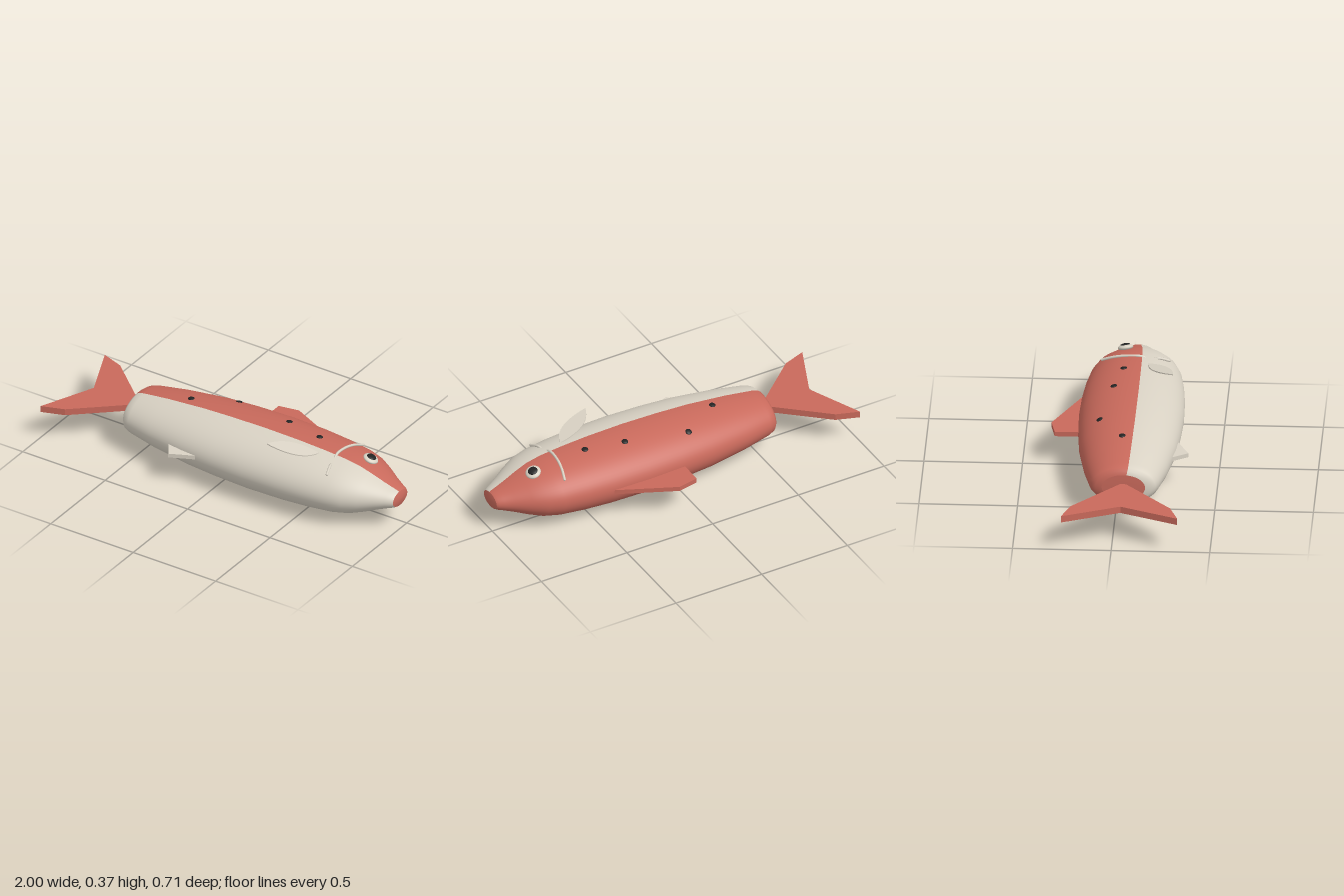
import * as THREE from 'three';

const CY = 0.168, CZ = 0.042, FLAT = 0.625; // body axis and height/width ratio
const SPLIT = THREE.MathUtils.degToRad(82); // half angle of the pale belly

// body half-width along its length: [x, radius]
const TAIL = [[-0.608, 0], [-0.608, 0.06], [-0.606, 0.11]];
const SIDE = [[-0.606, 0.11], [-0.6, 0.142], [-0.585, 0.162], [-0.55, 0.178], [-0.4, 0.212], [-0.18, 0.246],
  [0, 0.26], [0.2, 0.267], [0.4, 0.262], [0.55, 0.25], [0.68, 0.232], [0.76, 0.208], [0.83, 0.168],
  [0.9, 0.121], [0.95, 0.091], [0.975, 0.077], [0.987, 0.066]];
const NOSE = [[0.987, 0.066], [0.992, 0.045], [0.995, 0.02], [0.996, 0]];

function radiusAt(x) {
  for (let i = 1; i < SIDE.length; i++) {
    const [x0, r0] = SIDE[i - 1], [x1, r1] = SIDE[i];
    if (x <= x1) return r0 + (r1 - r0) * (x - x0) / (x1 - x0);
  }
  return 0;
}
// height of the upper body surface
function surfaceY(x, z) {
  const r = radiusAt(x), d = z - CZ;
  return CY + FLAT * Math.sqrt(Math.max(0, r * r - d * d));
}
function surfaceNormal(x, z) {
  const e = 0.01;
  return new THREE.Vector3((surfaceY(x - e, z) - surfaceY(x + e, z)) / (2 * e), 1,
    (surfaceY(x, z - e) - surfaceY(x, z + e)) / (2 * e)).normalize();
}

export function createModel() {
  const model = new THREE.Group();
  const mat = (name, color) => {
    const m = new THREE.MeshStandardMaterial({ color });
    m.name = name;
    return m;
  };
  const red = mat('salmon red', 0xc8695b);
  const cream = mat('belly cream', 0xd9d2c4);
  const black = mat('black', 0x222222);

  const add = (name, geometry, material) => {
    const mesh = new THREE.Mesh(geometry, material);
    mesh.name = name;
    model.add(mesh);
    return mesh;
  };

  // body sections turned around the long axis, then flattened
  const turned = (profile, start, length, segments) => {
    const points = profile.map(([x, r]) => new THREE.Vector2(r, x));
    return new THREE.LatheGeometry(points, segments, start, length)
      .rotateZ(-Math.PI / 2).scale(1, FLAT, 1).translate(0, CY, CZ);
  };
  add('back', turned(SIDE, SPLIT, Math.PI * 2 - 2 * SPLIT, 36), red);
  add('belly', turned(SIDE, -SPLIT, 2 * SPLIT, 30), cream);
  add('tailCap', turned(TAIL, 0, Math.PI * 2, 64), red);
  add('nose', turned(NOSE, 0, Math.PI * 2, 64), red);

  // flat fins, outlined in [x, z]
  const plate = (shape, y, depth) =>
    new THREE.ExtrudeGeometry(shape, { depth, bevelEnabled: false, curveSegments: 12 })
      .rotateX(-Math.PI / 2).translate(0, y - depth / 2, 0);
  const outline = (pts) => new THREE.Shape(pts.map(([x, z]) => new THREE.Vector2(x, -z)));

  add('tailFin', plate(outline([[-0.59, 0.04], [-0.88, -0.213], [-1, -0.255], [-0.872, 0.04],
    [-1, 0.335], [-0.88, 0.293]]), 0.17, 0.035), red);
  add('dorsalFin', plate(outline([[0, -0.15], [0, -0.337], [0.11, -0.358], [0.42, -0.215], [0.42, -0.15]]),
    0.17, 0.025), red);
  add('pelvicFin', plate(outline([[-0.3, 0.22], [-0.215, 0.352], [-0.06, 0.28], [-0.06, 0.22]]),
    0.17, 0.022), cream);

  // leaf-shaped side fin, rising towards the tail
  const leaf = new THREE.Shape();
  leaf.moveTo(0.315, -0.248);
  leaf.quadraticCurveTo(0.36, -0.11, 0.54, -0.11);
  leaf.quadraticCurveTo(0.51, -0.24, 0.315, -0.248);
  const leafGeometry = plate(leaf, 0, 0.006);
  const pos = leafGeometry.attributes.position;
  for (let i = 0; i < pos.count; i++) {
    pos.setY(i, pos.getY(i) + 0.317 + (0.54 - pos.getX(i)) * 0.215);
  }
  leafGeometry.computeVertexNormals();
  add('sideFin', leafGeometry, cream);

  // gill ridge following the body
  const gillPoints = [[0.652, -0.13, 0.012], [0.635, -0.07, 0.006], [0.624, 0, 0.004], [0.622, 0.07, 0.002],
    [0.63, 0.12, -0.012], [0.64, 0.16, 0.004], [0.655, 0.212, 0.012]]
    .map(([x, z, lift]) => new THREE.Vector3(x, surfaceY(x, z) + lift, z));
  const gillCurve = new THREE.CatmullRomCurve3(gillPoints);
  add('gill', new THREE.TubeGeometry(gillCurve, 40, 0.007, 8), cream);
  for (const t of [0, 1]) {
    add('gillEnd', new THREE.SphereGeometry(0.007, 10, 8), cream).position.copy(gillCurve.getPoint(t));
  }

  // flattened domes lying on the surface: eye, pupil and spots
  const up = new THREE.Vector3(0, 1, 0);
  const dome = (name, x, z, radius, height, lift, material) => {
    const mesh = add(name, new THREE.SphereGeometry(radius, 24, 12), material);
    const n = surfaceNormal(x, z);
    mesh.scale.y = height / radius;
    mesh.position.set(x, surfaceY(x, z), z).addScaledVector(n, lift);
    mesh.quaternion.setFromUnitVectors(up, n);
  };
  dome('eye', 0.768, -0.015, 0.04, 0.016, 0.008, cream);
  dome('pupil', 0.768, -0.015, 0.025, 0.008, 0.02, black);
  for (const [x, z] of [[-0.295, 0.02], [-0.085, -0.105], [0.255, -0.05], [0.465, -0.01]]) {
    dome('spot', x, z, 0.017, 0.006, 0.001, black);
  }
  return model;
}
